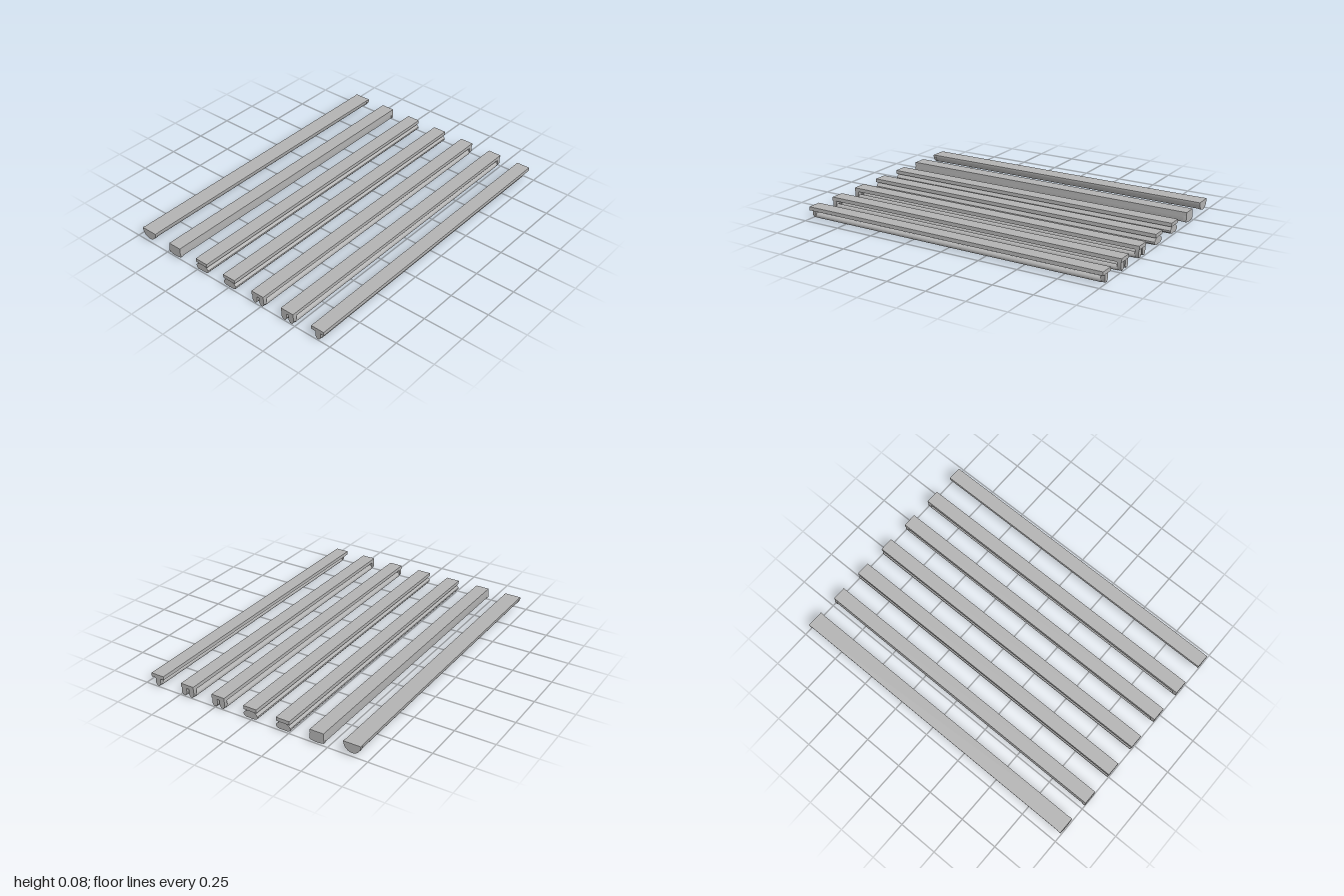
import * as THREE from 'three';
import { toCreasedNormals } from 'three/addons/utils/BufferGeometryUtils.js';

const TOP = 0.078, SLAB = 0.055, TUBE_R = 0.0165;

export function createModel() {
  const grey = new THREE.MeshStandardMaterial({ color: 0xb2b2b2 });
  grey.name = 'grey metal';
  const model = new THREE.Group();
  model.name = 'stripLights';

  function add(parent, geometry, name, x = 0, y = 0, z = 0) {
    const mesh = new THREE.Mesh(geometry, grey);
    mesh.name = name;
    mesh.position.set(x, y, z);
    parent.add(mesh);
  }

  // Cross-section (z, y) swept along x and centred on x = 0
  function sweep(shape, length) {
    const geo = new THREE.ExtrudeGeometry(shape, { depth: length, bevelEnabled: false, curveSegments: 24 });
    geo.translate(0, 0, -length / 2);
    geo.rotateY(Math.PI / 2);
    return toCreasedNormals(geo, 0.6);
  }

  // Symmetric outline from half a profile, listed top to bottom
  function mirrored(half) {
    const right = half.map(([z, y]) => new THREE.Vector2(z, y));
    const left = half.map(([z, y]) => new THREE.Vector2(-z, y)).reverse();
    return new THREE.Shape([...right, ...left]);
  }

  function fixture(name, z) {
    const group = new THREE.Group();
    group.name = name;
    group.position.z = z;
    model.add(group);
    return group;
  }

  function addChannel(group) {
    add(group, new THREE.BoxGeometry(2, TOP - SLAB, 0.088), 'channel', 0, (TOP + SLAB) / 2);
  }

  // Bare tube between two round-ended sockets
  const socketShape = new THREE.Shape();
  socketShape.moveTo(0.0175, SLAB);
  socketShape.lineTo(-0.0175, SLAB);
  socketShape.lineTo(-0.0175, 0.02);
  socketShape.lineTo(-0.008, 0.004);
  socketShape.lineTo(0.008, 0.004);
  socketShape.lineTo(0.0175, 0.02);
  const socketGeo = sweep(socketShape, 0.024);
  const tubeGeo = new THREE.CylinderGeometry(TUBE_R, TUBE_R, 1.95, 20).rotateZ(Math.PI / 2);
  function addLamp(group, z) {
    add(group, tubeGeo, 'tube', 0, TUBE_R, z);
    for (const side of [-1, 1]) add(group, socketGeo, 'socket', side * 0.985, 0, z);
  }

  // Single and twin tube battens
  const single = fixture('singleBatten', 0.664);
  addChannel(single);
  addLamp(single, 0);
  for (const z of [0.446, 0.227]) {
    const twin = fixture('twinBatten', z);
    addChannel(twin);
    for (const side of [-1, 1]) addLamp(twin, side * 0.0255);
  }

  // Battens with a wide, bulging lens on a narrow neck
  const lensShape = mirrored([
    [0.015, SLAB], [0.026, 0.049], [0.040, 0.039], [0.047, 0.030],
    [0.047, 0.020], [0.041, 0.012], [0.030, 0.007],
  ]);
  const lensGeo = sweep(lensShape, 1.99);
  for (const z of [0.007, -0.212]) {
    const batten = fixture('lensBatten', z);
    addChannel(batten);
    add(batten, lensGeo, 'lens');
  }

  // Deep diffuser with flared end caps
  const deepProfile = (s) => mirrored([
    [0.043, SLAB], [0.046 * s, 0.024], [0.044 * s, 0.016], [0.025 * s, 0.012], [0.01 * s, 0.01],
  ]);
  const deep = fixture('deepDiffuserBatten', -0.432);
  addChannel(deep);
  add(deep, sweep(deepProfile(0.96), 1.96), 'diffuser');
  for (const side of [-1, 1]) add(deep, sweep(deepProfile(1.03), 0.02), 'endCap', side * 0.99);

  // Half-round diffuser, flat side up
  function halfRound(r) {
    const shape = new THREE.Shape();
    shape.moveTo(-r, TOP);
    shape.absellipse(0, TOP, r, r * 1.06, Math.PI, Math.PI * 2, false, 0);
    return shape;
  }
  const round = fixture('halfRoundBatten', -0.652);
  add(round, sweep(halfRound(0.0525), 1.96), 'diffuser');
  for (const side of [-1, 1]) add(round, sweep(halfRound(0.0545), 0.02), 'endCap', side * 0.987);

  return model;
}
